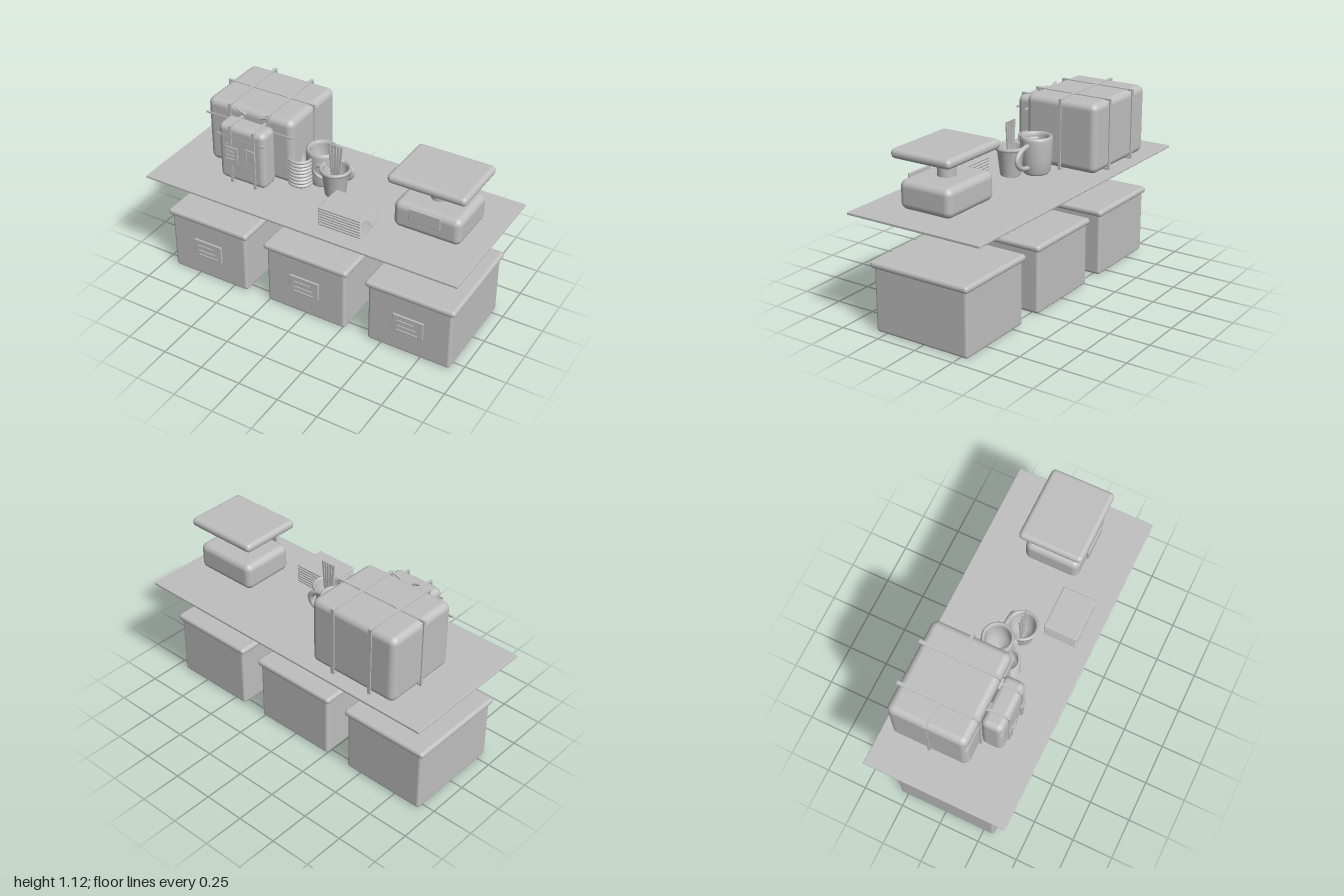
import * as THREE from 'three';
import { RoundedBoxGeometry } from 'three/addons/geometries/RoundedBoxGeometry.js';

const grey = new THREE.MeshStandardMaterial({ color: 0xbfbfbf });
grey.name = 'plain grey';

export function createModel() {
  const root = new THREE.Group();
  root.name = 'packingTable';

  const group = (name, x = 0, y = 0, z = 0) => {
    const g = new THREE.Group();
    g.name = name;
    g.position.set(x, y, z);
    root.add(g);
    return g;
  };
  const add = (parent, name, geo, x = 0, y = 0, z = 0) => {
    const m = new THREE.Mesh(geo, grey);
    m.name = name;
    m.position.set(x, y, z);
    parent.add(m);
    return m;
  };
  // Box given by its limits; r rounds the edges
  const block = (parent, name, x0, x1, y0, y1, z0, z1, r = 0) => {
    const s = [x1 - x0, y1 - y0, z1 - z0];
    const geo = r ? new RoundedBoxGeometry(...s, 4, r) : new THREE.BoxGeometry(...s);
    return add(parent, name, geo, (x0 + x1) / 2, (y0 + y1) / 2, (z0 + z1) / 2);
  };
  const lathe = (pts) => new THREE.LatheGeometry(pts.map((p) => new THREE.Vector2(...p)), 40);

  // Table top
  block(root, 'tableTop', -1, 1, 0.68, 0.695, -0.43, 0.43, 0.004);

  // Three lidded bins with labels
  for (const x of [-0.665, 0.005, 0.675]) {
    const bin = group('bin', x);
    block(bin, 'binBody', -0.26, 0.26, 0.005, 0.395, -0.297, 0.316, 0.018);
    block(bin, 'binLid', -0.277, 0.277, 0.381, 0.422, -0.311, 0.332, 0.019);
    block(bin, 'binLabel', -0.096, 0.096, 0.156, 0.27, 0.322, 0.334, 0.003);
    [0.17, 0.2, 0.235].forEach((y, i) =>
      block(bin, 'labelLine', -0.065, 0.065 - i * 0.012, y - 0.003, y + 0.003, 0.333, 0.34));
  }

  // Weighing scale
  const scale = group('scale', 0.678, 0, 0.008);
  block(scale, 'scaleBody', -0.202, 0.202, 0.727, 0.893, -0.167, 0.167, 0.04);
  add(scale, 'scalePost', new THREE.CylinderGeometry(0.052, 0.052, 0.15, 32), 0, 0.95, 0);
  block(scale, 'scalePlatform', -0.233, 0.233, 1.01, 1.065, -0.192, 0.192, 0.026);
  block(scale, 'scaleDisplay', -0.093, 0.093, 0.813, 0.892, 0.176, 0.187, 0.003);

  // Rectangular strap loop in the yz plane (across = false) or the xy plane
  const T = 0.01;
  const strap = (parent, across, at, a0, a1, y0, y1, w) => {
    const side = (u0, u1, v0, v1) => across
      ? block(parent, 'strap', u0, u1, v0, v1, at - w / 2, at + w / 2)
      : block(parent, 'strap', at - w / 2, at + w / 2, v0, v1, u0, u1);
    side(a0, a1, y1 - T, y1);
    side(a0, a1, y0, y0 + T);
    side(a0, a0 + T, y0, y1);
    side(a1 - T, a1, y0, y1);
  };

  // Large strapped bag
  const bag = group('largeBag');
  block(bag, 'bagBody', -0.775, -0.205, 0.708, 1.12, -0.37, 0.1, 0.04);
  for (const x of [-0.617, -0.362]) strap(bag, false, x, -0.377, 0.107, 0.703, 1.125, 0.02);
  strap(bag, true, -0.135, -0.782, -0.198, 0.703, 1.125, 0.016);
  block(bag, 'frontCord', -0.782, -0.198, 1.02, 1.03, 0.096, 0.106);
  for (const s of [-1, 1]) {
    const clip = block(bag, 'clip', -0.03, 0.03, -0.006, 0.006, -0.006, 0.006, 0.004);
    clip.position.set(-0.455 + s * 0.07, 1.105, 0.114);
    clip.rotation.z = s * 0.35;
  }

  // Small strapped bag in front
  const small = group('smallBag');
  block(small, 'bagBody', -0.617, -0.31, 0.708, 1.07, 0.1, 0.23, 0.035);
  for (const x of [-0.53, -0.375]) strap(small, false, x, 0.1, 0.237, 0.703, 1.074, 0.016);
  block(small, 'frontCord', -0.622, -0.305, 0.995, 1.005, 0.222, 0.232);

  // Hanging tags
  block(small, 'largeTag', -0.563, -0.475, 0.843, 0.948, 0.244, 0.251, 0.002);
  for (const y of [0.87, 0.895, 0.92])
    block(small, 'tagLine', -0.545, -0.495, y - 0.003, y + 0.003, 0.25, 0.256);
  block(small, 'smallTag', -0.422, -0.36, 0.905, 0.962, 0.244, 0.251, 0.002);
  for (const x of [-0.545, -0.412]) {
    const tie = block(small, 'tagTie', -0.004, 0.004, -0.05, 0.05, -0.004, 0.004);
    tie.position.set(x, 0.92, 0.256);
    tie.rotation.z = -0.1;
  }

  // Ribbed stack of nested cups
  const cups = group('cupStack', -0.183, 0, 0.05);
  const profile = [[0, 0.71], [0.06, 0.71]];
  for (let i = 0; i < 8; i++) {
    const y = 0.715 + i * 0.0225;
    profile.push([0.066, y], [0.073, y + 0.005], [0.075, y + 0.011], [0.073, y + 0.017], [0.066, y + 0.0215]);
  }
  profile.push([0.06, 0.89], [0.055, 0.82], [0, 0.82]);
  add(cups, 'ribbedCups', lathe(profile));

  // Large mug with handle
  const mug = group('mug', -0.096, 0, -0.046);
  add(mug, 'mugBody', lathe([[0, 0.7], [0.07, 0.7], [0.082, 0.715], [0.09, 0.78], [0.093, 0.85],
    [0.094, 0.905], [0.09, 0.92], [0.082, 0.924], [0.074, 0.918], [0.07, 0.9], [0.07, 0.75], [0, 0.74]]));
  const loop = (R, r) => new THREE.TorusGeometry(R, r, 14, 28, Math.PI);
  const mugHandle = add(mug, 'mugHandle', loop(0.068, 0.014), 0.09, 0.815, 0);
  mugHandle.rotation.z = -Math.PI / 2;
  mugHandle.scale.x = 0.95;
  mugHandle.scale.y = 1.5;

  // Tapered cup holding sticks
  const pot = group('stickCup', 0.04, 0, 0.04);
  add(pot, 'cupBody', lathe([[0, 0.708], [0.055, 0.708], [0.06, 0.713], [0.078, 0.862], [0.09, 0.864],
    [0.092, 0.874], [0.088, 0.884], [0.078, 0.884], [0.073, 0.872], [0.055, 0.73], [0, 0.73]]));
  const cupHandle = add(pot, 'cupHandle', loop(0.045, 0.01), -0.068, 0.822, 0);
  cupHandle.rotation.z = Math.PI / 2;
  cupHandle.scale.y = 1.6;
  for (let i = -2; i <= 2; i++) {
    const stick = block(pot, 'stick', -0.006, 0.006, -0.145, 0.145, -0.004, 0.004);
    stick.position.set(i * 0.014, 0.883, 0);
    stick.rotation.z = -i * 0.04;
  }

  // Stack of flat trays
  const stack = group('trayStack', 0.24, 0, 0.238);
  for (let i = 0; i < 7; i++) {
    const y = 0.7 + i * 0.0173;
    block(stack, 'tray', -0.134, 0.134, y, y + 0.0145, -0.098, 0.101, 0.006);
  }
  return root;
}
